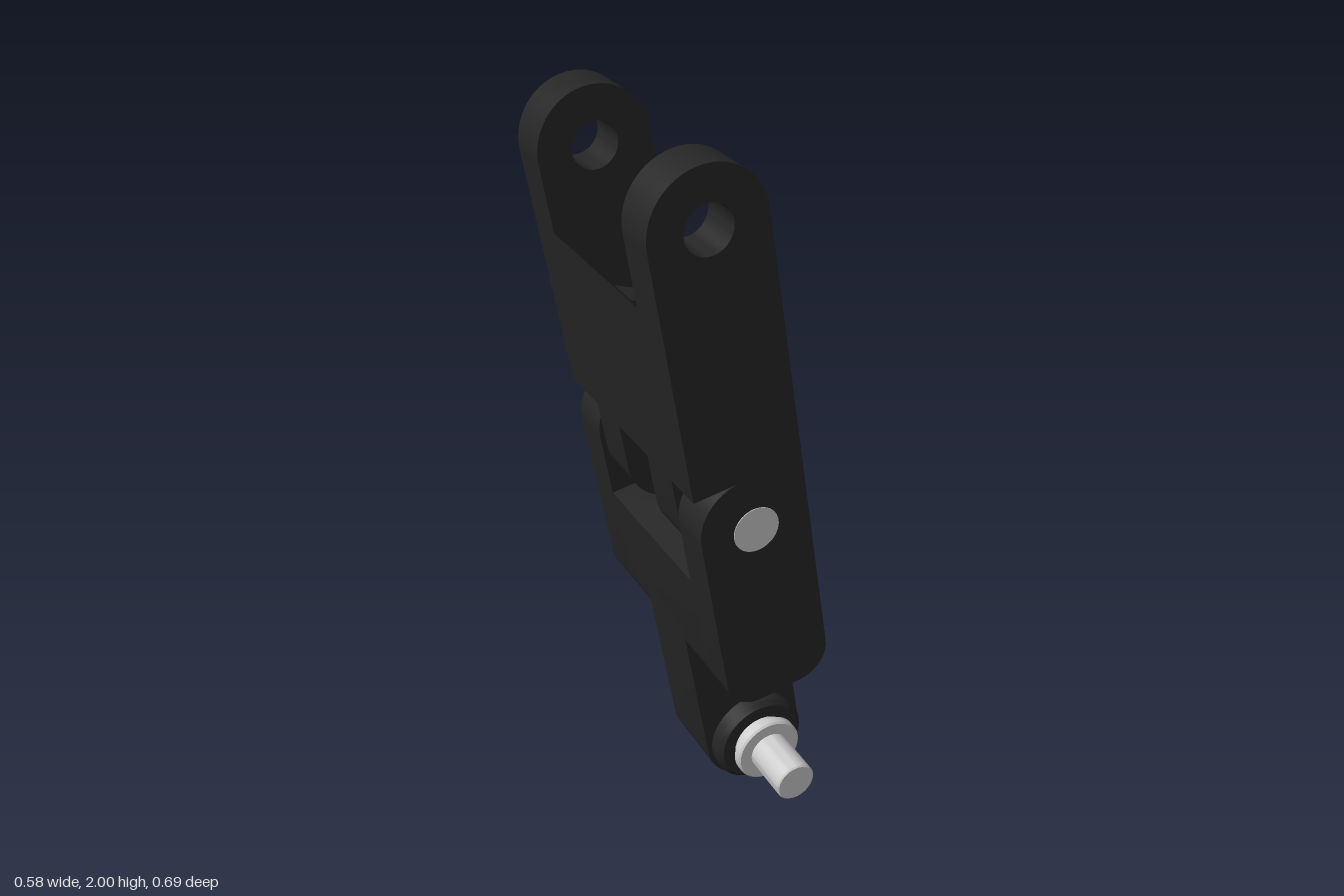
import * as THREE from 'three';
import { toCreasedNormals } from 'three/addons/utils/BufferGeometryUtils.js';

const R = 0.148;       // half width of the link
const LENGTH = 1.728;  // bottom pivot to top pivot
const HINGE = 0.914;   // height of the middle hinge
const SPLIT = 1.067;   // seam between lower and upper block

const dark = new THREE.MeshStandardMaterial({ color: 0x262626 });
const black = new THREE.MeshStandardMaterial({ color: 0x151515 });
const steel = new THREE.MeshStandardMaterial({ color: 0xcccccc });

// Closed outline from corners [x, y, radius], counter-clockwise
function outline(corners) {
  const shape = new THREE.Shape();
  const n = corners.length;
  corners.forEach(([x, y, r = 0], i) => {
    const p = new THREE.Vector2(x, y);
    const toward = (c) => new THREE.Vector2(c[0], c[1]).sub(p).normalize();
    const a = toward(corners[(i + n - 1) % n]);
    const b = toward(corners[(i + 1) % n]);
    const at = (d, s) => p.clone().addScaledVector(d, s);
    const start = at(a, r);
    if (i === 0) shape.moveTo(start.x, start.y);
    else shape.lineTo(start.x, start.y);
    if (r > 0) {
      const c1 = at(a, r * 0.448), c2 = at(b, r * 0.448), end = at(b, r);
      shape.bezierCurveTo(c1.x, c1.y, c2.x, c2.y, end.x, end.y);
    }
  });
  return shape;
}

function withHole(shape, x, y, r) {
  shape.holes.push(new THREE.Path().absarc(x, y, r, 0, Math.PI * 2, true));
  return shape;
}

export function createModel() {
  const model = new THREE.Group();
  model.name = 'hingedLink';
  const link = new THREE.Group();
  link.name = 'tiltedLink';
  link.position.set(0.1426, R, 0);
  link.rotation.z = Math.asin(0.2852 / LENGTH);
  model.add(link);

  function add(name, geometry, material = dark) {
    const mesh = new THREE.Mesh(geometry, material);
    mesh.name = name;
    link.add(mesh);
    return mesh;
  }

  // Plate with the given outline between two depths
  function plate(name, shape, z0, z1) {
    const g = new THREE.ExtrudeGeometry(shape, { depth: z1 - z0, bevelEnabled: false, curveSegments: 20 });
    g.translate(0, 0, z0);
    return add(name, toCreasedNormals(g, 0.5));
  }

  // The same plate on both sides
  function platePair(name, shape, z0, z1) {
    plate(name + 'Left', shape, z0, z1);
    plate(name + 'Right', shape, -z1, -z0);
  }

  // Turned part along z, mirrored about z = 0, from [radius, z] outer steps
  function turned(name, half, y, material) {
    const pts = [...half.map(([r, z]) => [r, -z]), ...half.slice().reverse()];
    const g = new THREE.LatheGeometry(pts.map(([r, z]) => new THREE.Vector2(r, z)), 40);
    g.rotateX(Math.PI / 2);
    g.translate(0, y, 0);
    return add(name, toCreasedNormals(g, 0.5), material);
  }

  // Bottom eye: tongue, hub, steel collar and pin
  plate('tongue', outline([[-R, -R, R], [R, -R, R], [R, 0.5], [-R, 0.5]]), -0.104, 0.104);
  turned('hub', [[0, 0.15], [0.122, 0.15], [0.135, 0.137]], 0, dark);
  turned('collar', [[0, 0.198], [0.093, 0.198], [0.098, 0.193], [0.098, 0.172], [0.084, 0.172], [0.084, 0.14]], 0, steel);
  turned('bottomPin', [[0, 0.345], [0.054, 0.345], [0.058, 0.341]], 0, steel);

  // Lower block: solid base with a cheek on each side of the hinge gap
  plate('lowerBase', outline([[-R, 0.37, 0.09], [R, 0.37, 0.09], [R, 0.748], [-R, 0.748]]), -0.228, 0.228);
  platePair('hingeCheek',
    outline([[-R, 0.37, 0.09], [R, 0.37, 0.09], [R, SPLIT], [-R, SPLIT, 0.13]]), 0.228, 0.345);

  // Hinge: knuckles of the upper block, washers, barrel and steel pin ends
  const knuckle = outline([[-0.14, HINGE - 0.14, 0.14], [0.14, HINGE - 0.14, 0.14],
    [0.14, SPLIT + 0.01], [-0.14, SPLIT + 0.01]]);
  platePair('knuckle', knuckle, 0.08, 0.21);
  turned('hingeWashers', [[0, 0.228], [0.09, 0.228], [0.09, 0.2], [0.058, 0.2]], HINGE, dark);
  for (const side of [1, -1]) {
    const end = new THREE.CylinderGeometry(0.062, 0.062, 0.06, 40);
    end.rotateX(Math.PI / 2);
    end.translate(0, HINGE, side * 0.317);
    add(side > 0 ? 'hingePinEndLeft' : 'hingePinEndRight', end, steel);
  }

  // Upper block: floor and back wall of the pocket
  const floor = 1.097, lip = 1.487, wall = -0.107;
  plate('pocketBack', outline([[-R, SPLIT], [R, SPLIT], [R, floor], [wall, floor],
    [wall, lip], [-R, 1.547]]), -0.228, 0.228);
  plate('pocketRib', outline([[wall - 0.01, floor - 0.01], [-0.015, floor - 0.01],
    [-0.015, 1.397], [wall - 0.01, 1.45]]), 0.012, 0.105).position.z = -0.117;

  // Fork arms: inner layer cut away by the pocket, outer layer full
  const top = LENGTH + R;
  const innerArm = outline([[-R, SPLIT], [R, SPLIT], [R, floor], [wall, floor],
    [wall, lip], [R, lip], [R, top, R], [-R, top, R]]);
  const outerArm = outline([[-R, SPLIT], [R, SPLIT], [R, top, R], [-R, top, R]]);
  platePair('forkArmInner', withHole(innerArm, 0, LENGTH, 0.061), 0.228, 0.305);
  platePair('forkArmOuter', withHole(outerArm, 0, LENGTH, 0.061), 0.305, 0.345);

  // Set screw sockets on the right-hand edge
  for (const y of [HINGE, LENGTH]) {
    for (const z of [0.288, -0.288]) {
      const g = new THREE.CylinderGeometry(0.03, 0.03, 0.01, 24);
      g.rotateZ(Math.PI / 2);
      g.translate(R - 0.004, y, z);
      add('setScrew', g, black);
    }
  }

  // Barrel between the knuckles
  turned('hingeBarrel', [[0, 0.21], [0.058, 0.21]], HINGE, dark);

  return model;
}
